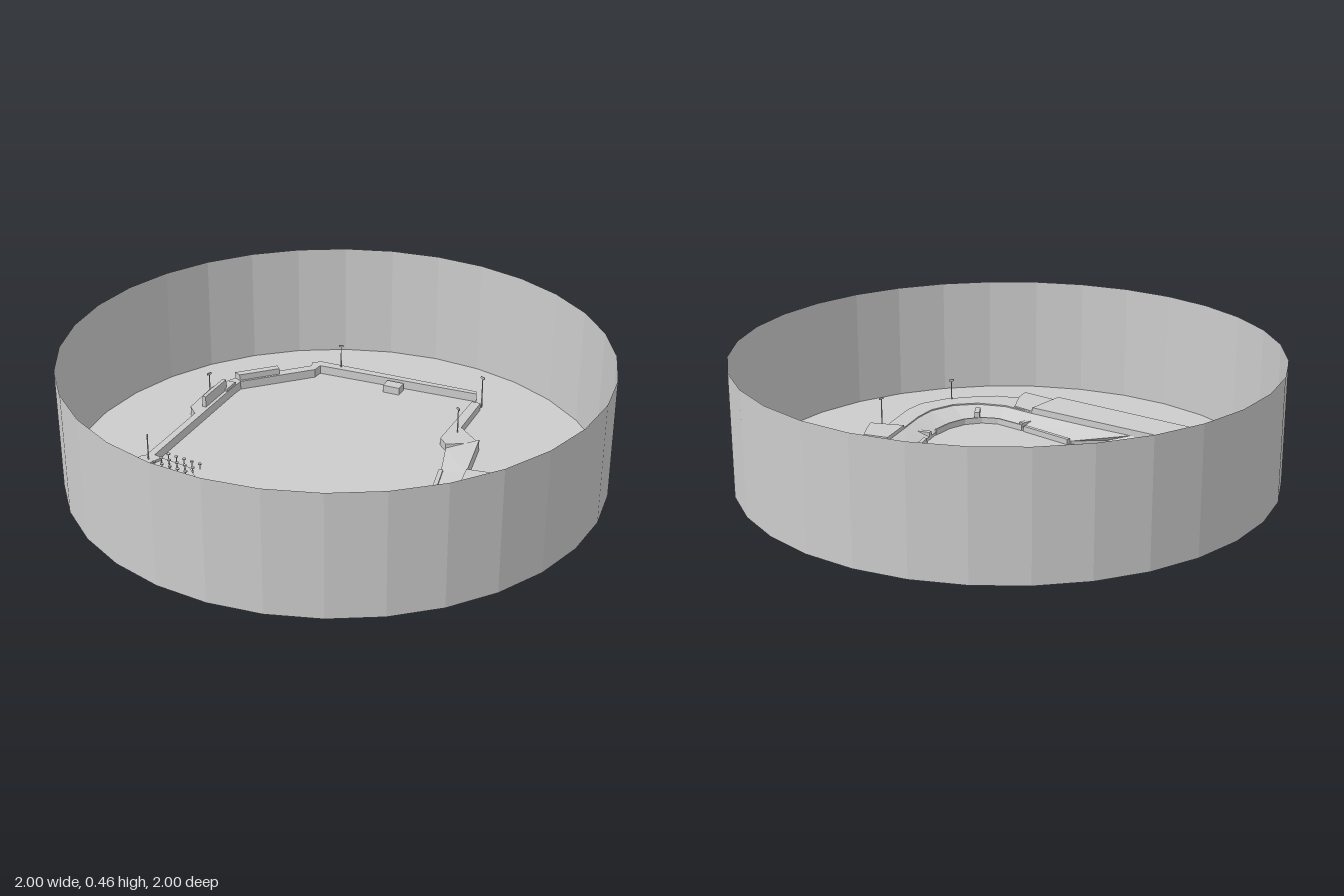
import * as THREE from 'three';

export function createModel() {
  const model = new THREE.Group();
  const grey = new THREE.MeshStandardMaterial({ color: 0xcccccc, flatShading: true, side: THREE.DoubleSide });
  grey.name = 'pale grey';

  function add(name, geometry, parent = model) {
    const mesh = new THREE.Mesh(geometry, grey);
    mesh.name = name;
    parent.add(mesh);
    return mesh;
  }

  // Raises a plan outline of [x, z] points from the floor to height h
  function block(name, points, h, base = 0) {
    const shape = new THREE.Shape(points.map(([x, z]) => new THREE.Vector2(x, -z)));
    const geo = new THREE.ExtrudeGeometry(shape, { depth: h - base, bevelEnabled: false });
    geo.rotateX(-Math.PI / 2);
    geo.translate(0, base, 0);
    return add(name, geo);
  }

  // A box lying along a plan segment
  function beam(name, [x0, z0], [x1, z1], width, h, base = 0) {
    const geo = new THREE.BoxGeometry(Math.hypot(x1 - x0, z1 - z0), h - base, width);
    geo.rotateY(-Math.atan2(z1 - z0, x1 - x0));
    geo.translate((x0 + x1) / 2, (h + base) / 2, (z0 + z1) / 2);
    return add(name, geo);
  }

  // Surrounding drum: open 32-sided shell and floor
  const shell = new THREE.CylinderGeometry(1, 1, 0.46, 32, 1, true);
  shell.translate(0, 0.23, 0);
  add('outerShell', shell);
  const floor = new THREE.CircleGeometry(1, 32);
  floor.rotateX(-Math.PI / 2);
  add('floor', floor);

  // Outfield wall in three stretches
  block('leftFieldWall', [[-0.73, -0.22], [-0.68, -0.25], [-0.66, -0.25], [-0.4, -0.51], [-0.4, -0.57],
    [-0.27, -0.71], [-0.16, -0.755], [-0.15, -0.715], [-0.19, -0.68], [-0.63, -0.24], [-0.61, -0.21], [-0.7, -0.17]], 0.035);
  block('centreFieldWall', [[-0.16, -0.755], [0.17, -0.755], [0.18, -0.78], [0.22, -0.78], [0.215, -0.745],
    [0.2, -0.74], [0.17, -0.715], [-0.15, -0.715]], 0.035);
  block('rightFieldWall', [[0.22, -0.78], [0.71, -0.3], [0.7, -0.28], [0.2, -0.745]], 0.035);
  block('battersEye', [[-0.16, -0.755], [0.02, -0.755], [0.02, -0.725], [-0.15, -0.725]], 0.06);
  beam('scoreboard', [-0.35, -0.55], [-0.23, -0.67], 0.015, 0.08);
  beam('fieldHut', [-0.24, -0.66], [-0.19, -0.71], 0.035, 0.045);
  beam('fieldHut', [0.4, -0.51], [0.45, -0.46], 0.05, 0.03);
  block('rightCornerWall', [[0.42, 0], [0.66, -0.235], [0.685, -0.21], [0.53, -0.05], [0.54, 0.09], [0.42, 0.05]], 0.03);

  // Seating bowl: sloping strip between an inner and an outer plan line
  const outer = [[-0.66, -0.06], [-0.52, 0.11], [-0.4, 0.25], [-0.23, 0.46], [-0.15, 0.57], [-0.05, 0.63],
    [0.05, 0.64], [0.15, 0.6], [0.22, 0.53], [0.3, 0.42], [0.39, 0.3], [0.54, 0.09]];
  const inner = [[-0.57, 0.03], [-0.45, 0.17], [-0.31, 0.2], [-0.17, 0.4], [-0.1, 0.5], [-0.04, 0.53],
    [0.03, 0.53], [0.1, 0.5], [0.17, 0.44], [0.24, 0.35], [0.33, 0.21], [0.42, 0.05]];
  const positions = [], indices = [];
  outer.forEach(([ox, oz], i) => {
    const [ix, iz] = inner[i];
    positions.push(ix, 0, iz, ix, 0.012, iz, ox, 0.045, oz, ox, 0, oz);
    if (i === 0) return;
    for (let k = 0; k < 3; k++) {
      const a = (i - 1) * 4 + k, b = i * 4 + k;
      indices.push(a, b, a + 1, b, b + 1, a + 1);
    }
  });
  const last = (outer.length - 1) * 4;
  indices.push(0, 1, 2, 0, 2, 3, last, last + 2, last + 1, last, last + 3, last + 2);
  const bowl = new THREE.BufferGeometry();
  bowl.setAttribute('position', new THREE.Float32BufferAttribute(positions, 3));
  bowl.setIndex(indices);
  bowl.computeVertexNormals();
  add('seatingBowl', bowl);

  // Concourse behind home plate, wrapped round the bowl
  block('concourse', [[-0.23, 0.65], [-0.15, 0.7], [-0.05, 0.715], [0.06, 0.72], [0.17, 0.69], [0.24, 0.63], [0.37, 0.45],
    [0.3, 0.42], [0.22, 0.53], [0.15, 0.6], [0.05, 0.64], [-0.05, 0.63], [-0.15, 0.57], [-0.23, 0.46], [-0.3, 0.51]], 0.05);
  block('rightPavilion', [[0.3, 0.42], [0.42, 0.485], [0.44, 0.44], [0.47, 0.36], [0.39, 0.3]], 0.06);

  // Long building beside the left stand
  block('leftTower', [[-0.84, -0.07], [-0.72, -0.15], [-0.66, -0.06], [-0.78, 0.04]], 0.085);
  block('leftBuilding', [[-0.78, 0.04], [-0.66, -0.06], [-0.23, 0.46], [-0.37, 0.56]], 0.07);
  block('leftEndBuilding', [[-0.37, 0.56], [-0.23, 0.46], [-0.18, 0.54], [-0.23, 0.65], [-0.27, 0.7]], 0.055);

  // Terrace with rows of standing tables
  block('terrace', [[-0.7, -0.17], [-0.61, -0.23], [-0.53, -0.12], [-0.53, -0.05], [-0.57, 0.03], [-0.66, -0.06]], 0.025);
  for (let row = 0; row < 3; row++) {
    for (let n = 0; n < 5; n++) {
      const x = -0.65 + n * 0.022 + row * 0.032, z = -0.17 + n * 0.028 - row * 0.018;
      const table = new THREE.Group();
      table.name = 'terraceTable';
      table.position.set(x, 0.025, z);
      const leg = add('tableLeg', new THREE.CylinderGeometry(0.002, 0.002, 0.022, 6), table);
      leg.position.y = 0.011;
      const top = add('tableTop', new THREE.CylinderGeometry(0.007, 0.007, 0.004, 8), table);
      top.position.y = 0.022;
      model.add(table);
    }
  }

  // Dugouts, rails and the backstop along the inner edge
  beam('leftDugout', [-0.3, 0.2], [-0.18, 0.39], 0.016, 0.022);
  beam('rightDugout', [0.33, 0.21], [0.23, 0.36], 0.016, 0.022);
  beam('dugoutEnd', [-0.22, 0.43], [-0.17, 0.41], 0.02, 0.03);
  beam('dugoutEnd', [0.2, 0.4], [0.24, 0.43], 0.02, 0.03);
  beam('pressWalkway', [-0.04, 0.59], [-0.02, 0.53], 0.02, 0.045);
  for (let i = 3; i < 8; i++) beam('backstop', inner[i], inner[i + 1], 0.006, 0.024);

  // Floodlight masts with a small lamp bar
  for (const [x, z] of [[-0.66, -0.215], [0.28, -0.7], [0.7, -0.23], [0.5, -0.02], [0.36, 0.56], [0.04, 0.71], [-0.3, -0.64]]) {
    const mast = new THREE.Group();
    mast.name = 'floodlight';
    mast.position.set(x, 0, z);
    mast.rotation.y = Math.atan2(-x, -z);
    add('mastPole', new THREE.CylinderGeometry(0.002, 0.003, 0.13, 6), mast).position.y = 0.065;
    add('lampBar', new THREE.BoxGeometry(0.02, 0.008, 0.004), mast).position.y = 0.13;
    model.add(mast);
  }
  return model;
}
